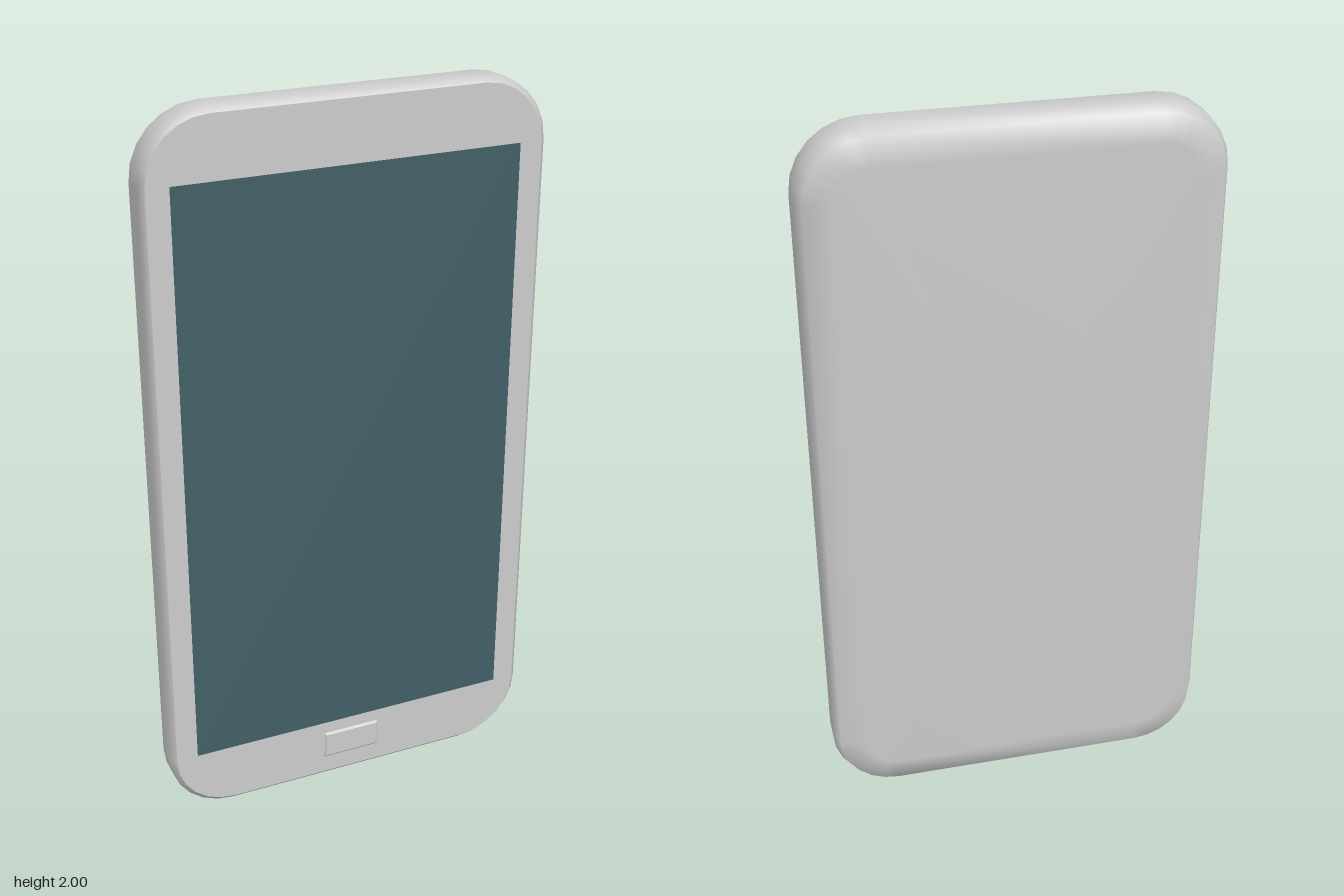
import * as THREE from 'three';

const HALF_W = 0.54, HALF_H = 1, RADIUS = 0.18, ARC = 6;

// Counter-clockwise rounded-rectangle outline, inset from the widest one
function outline(inset) {
  const r = RADIUS - inset, cx = HALF_W - RADIUS, cy = HALF_H - RADIUS;
  const corners = [[1, 1], [-1, 1], [-1, -1], [1, -1]];
  const pts = [];
  corners.forEach(([sx, sy], c) => {
    for (let i = 0; i <= ARC; i++) {
      const a = (c + i / ARC) * Math.PI / 2;
      pts.push(new THREE.Vector2(sx * cx + r * Math.cos(a), 1 + sy * cy + r * Math.sin(a)));
    }
  });
  return pts;
}

function rectPath(PathType, x0, x1, y0, y1) {
  const v = (x, y) => new THREE.Vector2(x, y);
  return new PathType([v(x0, y0), v(x1, y0), v(x1, y1), v(x0, y1)]);
}

// Smooth shell: rings of [z, inset] from front to back, closed at the back
function shellGeometry(sections) {
  const pos = [], index = [];
  let n = 0;
  for (const [z, inset] of sections) {
    const ring = outline(inset);
    n = ring.length;
    ring.forEach(p => pos.push(p.x, p.y, z));
  }
  for (let s = 0; s < sections.length - 1; s++) {
    for (let i = 0; i < n; i++) {
      const j = (i + 1) % n, a = s * n, b = a + n;
      index.push(a + i, b + i, b + j, a + i, b + j, a + j);
    }
  }
  const last = (sections.length - 1) * n, centre = sections.length * n;
  pos.push(0, 1, sections[sections.length - 1][0]);
  for (let i = 0; i < n; i++) index.push(centre, last + (i + 1) % n, last + i);
  const g = new THREE.BufferGeometry();
  g.setAttribute('position', new THREE.Float32BufferAttribute(pos, 3));
  g.setIndex(index);
  g.computeVertexNormals();
  return g;
}

export function createModel() {
  const group = new THREE.Group();
  const grey = new THREE.MeshStandardMaterial({ color: 0xcccccc });
  const glass = new THREE.MeshStandardMaterial({ color: 0x415f67 });
  const add = (name, geometry, material, z = 0) => {
    const mesh = new THREE.Mesh(geometry, material);
    mesh.name = name;
    mesh.position.z = z;
    group.add(mesh);
  };
  const frontZ = 0.062;
  const screenRect = [-0.465, 0.465, 0.185, 1.822];

  // Case: small front bevel, straight sides, wide soft bevel at the back
  add('backShell', shellGeometry([
    [frontZ, 0.015], [0.047, 0], [-0.017, 0], [-0.055, 0.018], [-0.068, 0.09],
  ]), grey);

  // Flat front frame with an opening for the screen
  const frame = new THREE.Shape(outline(0.015));
  frame.holes.push(rectPath(THREE.Path, ...screenRect));
  add('frontFrame', new THREE.ShapeGeometry(frame), grey, frontZ);

  // Screen, flush with the frame
  add('screen', new THREE.ShapeGeometry(rectPath(THREE.Shape, ...screenRect)), glass, frontZ);

  // Raised button with bevelled rim
  const bevel = 0.006;
  const button = new THREE.ExtrudeGeometry(
    rectPath(THREE.Shape, -0.083 + bevel, 0.083 - bevel, 0.068 + bevel, 0.15 - bevel),
    { depth: 0.006, bevelThickness: 0.004, bevelSize: bevel, bevelSegments: 1 });
  add('homeButton', button, grey, 0.058);

  return group;
}
